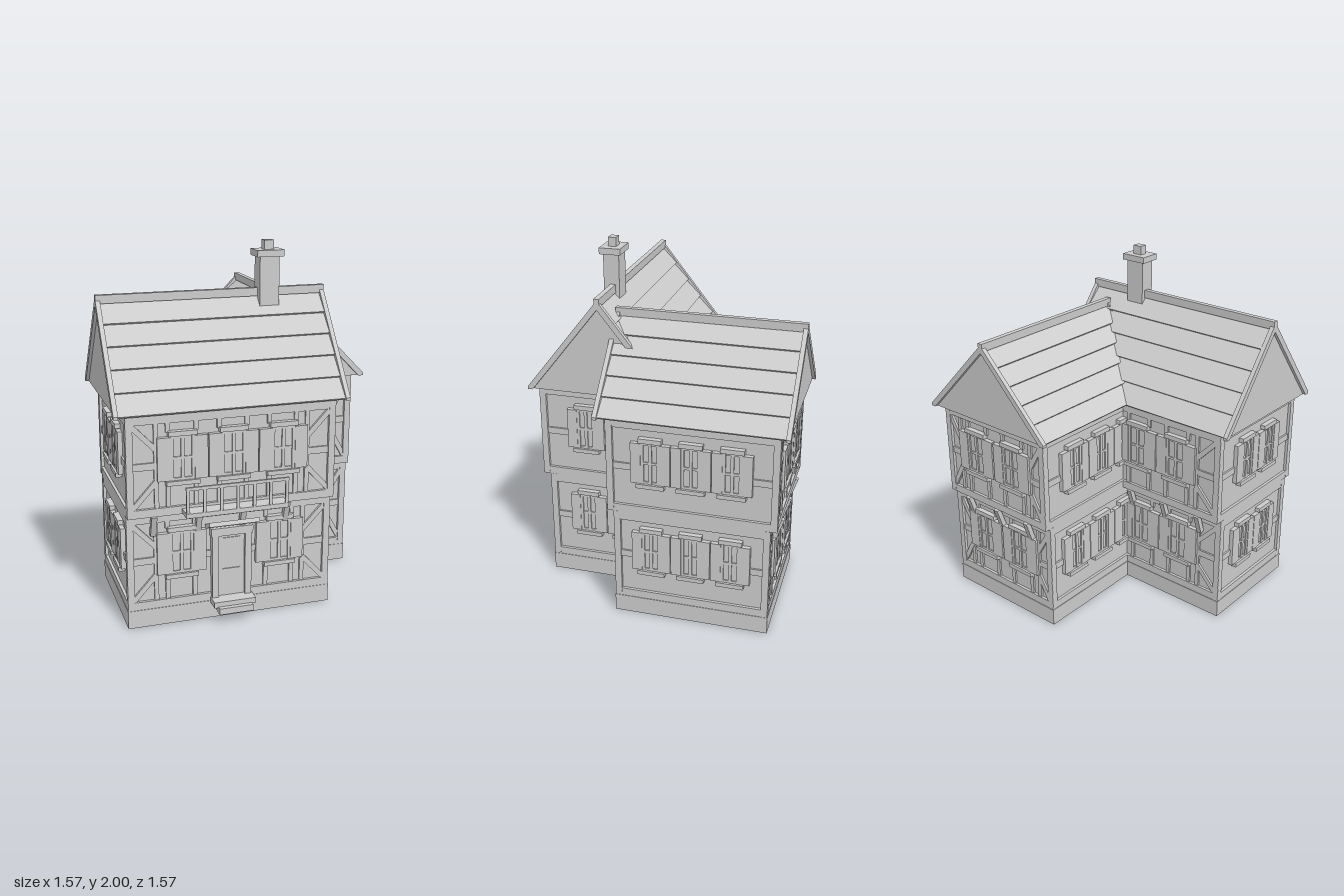
import * as THREE from 'three';

const stone = new THREE.MeshStandardMaterial({ color: 0xcccccc });
stone.name = 'pale grey';

// Box given by its min/max limits on each axis
function box(parent, name, x0, x1, y0, y1, z0, z1) {
  const m = new THREE.Mesh(new THREE.BoxGeometry(x1 - x0, y1 - y0, z1 - z0), stone);
  m.position.set((x0 + x1) / 2, (y0 + y1) / 2, (z0 + z1) / 2);
  m.name = name;
  parent.add(m);
  return m;
}

// Flat timber between two points of a facade
function brace(parent, ax, ay, bx, by, z) {
  const m = new THREE.Mesh(new THREE.BoxGeometry(Math.hypot(bx - ax, by - ay), 0.028, 0.02), stone);
  m.position.set((ax + bx) / 2, (ay + by) / 2, z);
  m.rotation.z = Math.atan2(by - ay, bx - ax);
  m.name = 'diagonalBrace';
  parent.add(m);
}

function group(parent, name) {
  const g = new THREE.Group();
  g.name = name;
  parent.add(g);
  return g;
}

// Window with glass, glazing bars, shutters, sill and lintel; s is its whole width
function addWindow(parent, x, y, s) {
  const g = group(parent, 'window');
  g.position.set(x, y, 0);
  const p = s * 0.235, h = 0.24;
  box(g, 'glass', -p, p, 0, h, -0.02, -0.002);
  for (const e of [-1, 1]) {
    box(g, 'frameSide', e * (p - 0.008) - 0.008, e * (p - 0.008) + 0.008, 0, h, -0.02, 0.006);
    const a = e * p, b = e * s * 0.49;
    box(g, 'shutter', Math.min(a, b), Math.max(a, b), 0.002, h - 0.005, -0.02, 0.009);
  }
  box(g, 'mullion', -0.009, 0.009, 0, h, -0.02, 0.006);
  for (const yy of [0, h / 2 - 0.006, h - 0.014]) box(g, 'glazingBar', -p, p, yy, yy + 0.014, -0.02, 0.004);
  box(g, 'sill', -p - 0.025, p + 0.025, -0.024, 0, -0.02, 0.018);
  box(g, 'lintel', -p - 0.012, p + 0.012, h, h + 0.026, -0.02, 0.014);
}

// One side of a block: two timber-framed storeys
function facade(parent, o) {
  const side = group(parent, o.name);
  side.position.set(o.cx, 0, o.cz);
  side.rotation.y = o.turn;
  [[0.1, 0.64], [0.64, 1.19]].forEach(([y0, y1], i) => {
    const f = group(side, i ? 'upperStorey' : 'groundStorey');
    f.position.z = o.dist[i];
    const h = o.half[i];
    box(f, 'bottomRail', -h, h, y0, y0 + 0.045, -0.03, 0);
    box(f, 'topRail', -h, h, y1 - 0.05, y1, -0.03, 0);
    box(f, 'middleRail', -h, h, y0 + 0.255, y0 + 0.293, -0.03, -0.006);
    for (const e of [-1, 1]) {
      box(f, 'cornerPost', e * (h - 0.018) - 0.018, e * (h - 0.018) + 0.018, y0, y1, -0.036, 0.001);
      if (o.fancy) {
        const a = e * (h - 0.03), b = e * (Math.max(...o.wins) + o.spacing / 2);
        brace(f, a, y0 + 0.05, b, y0 + 0.19, -0.013);
        brace(f, a, y1 - 0.055, b, y1 - 0.19, -0.013);
        box(f, 'stud', b - 0.012, b + 0.012, y0, y1, -0.03, -0.005);
      }
    }
    for (const x of o.wins) {
      if (o.door && i === 0 && x === 0) continue;
      addWindow(f, x, y0 + 0.19, o.spacing);
      if (o.fancy) for (const e of [-1, 1]) {
        const sx = x + e * 0.075;
        box(f, 'stud', sx - 0.012, sx + 0.012, y0, y0 + 0.17, -0.03, -0.005);
        box(f, 'stud', sx - 0.012, sx + 0.012, y0 + 0.45, y1, -0.03, -0.005);
      }
    }
  });
  // Brackets carrying the overhanging storey
  for (const x of o.brackets || []) {
    const m = box(side, 'bracket', x - 0.015, x + 0.015, 0.52, 0.645, o.dist[0] - 0.005, o.dist[0] + 0.023);
    m.position.z += 0.008;
    m.rotation.x = 0.32;
  }
}

// Solid stepped roof along z, with verge boards and ridge cap
function roof(parent, name, half, rise, length) {
  const g = group(parent, name);
  const n = 5, hw = half - 0.022, r = rise - 0.02, L = Math.hypot(hw, r);
  const pts = [[hw, 0]];
  const at = (t, k) => [hw * (1 - t) + (r / L) * k, r * t + (hw / L) * k];
  for (let i = 0; i < n; i++) pts.push(at(i / n, 0.018), at((i + 1) / n, 0.003));
  pts[pts.length - 1] = [0, r + 0.004];
  const all = [...pts, ...pts.slice(0, -1).reverse().map(([x, y]) => [-x, y])];
  const extrude = (partName, list, z0, z1) => {
    const shape = new THREE.Shape(list.map(([x, y]) => new THREE.Vector2(x, y)));
    const m = new THREE.Mesh(new THREE.ExtrudeGeometry(shape, { depth: z1 - z0, bevelEnabled: false }), stone);
    m.position.z = z0;
    m.name = partName;
    g.add(m);
  };
  const e = length / 2, k = rise / half;
  extrude('roofRows', all, -e + 0.018, e - 0.018);
  const verge = [[half, 0], [half, 0.015], [0, rise + 0.015], [-half, 0.015], [-half, 0],
    [-half + 0.028, 0], [0, rise - 0.028 * k], [half - 0.028, 0]];
  extrude('vergeBoard', verge, -e, -e + 0.025);
  extrude('vergeBoard', verge, e - 0.025, e);
  box(g, 'ridgeCap', -0.015, 0.015, rise - 0.02, rise + 0.025, -e, e);
  return g;
}

export function createModel() {
  const house = new THREE.Group();
  house.name = 'house';

  // The two blocks: centre, half width, half depth of ground and upper storeys
  const blocks = [
    { name: 'mainBlock', cx: -0.15, cz: 0.32, hx: 0.57, hz: [0.34, 0.38], front: [-0.275, 0, 0.275],
      side: [-0.11, 0.11], door: true, brackets: [-0.43, -0.185, 0.06, 0.305] },
    { name: 'wing', cx: 0.345, cz: -0.26, hx: 0.385, hz: [0.43, 0.465], front: [-0.14, 0.14],
      side: [-0.22, 0, 0.22], brackets: [-0.235, 0, 0.235] },
  ];
  for (const b of blocks) {
    const g = group(house, b.name);
    const { cx, cz, hx, hz } = b, w = 0.016;
    box(g, 'plinth', cx - hx - 0.003, cx + hx + 0.003, 0, 0.1, cz - hz[0] - 0.003, cz + hz[0] + 0.003);
    box(g, 'groundWalls', cx - hx + w, cx + hx - w, 0.1, 0.64, cz - hz[0] + w, cz + hz[0] - w);
    box(g, 'upperWalls', cx - hx + w, cx + hx - w, 0.64, 1.2, cz - hz[1] + w, cz + hz[1] - w);
    for (const back of [0, 1]) {
      facade(g, { name: back ? 'backFacade' : 'frontFacade', cx, cz, turn: back * Math.PI, half: [hx, hx],
        dist: hz, wins: b.front, spacing: 0.275, fancy: true, door: b.door && !back,
        brackets: back ? b.brackets.map((x) => -x) : b.brackets });
      facade(g, { name: back ? 'rightFacade' : 'leftFacade', cx, cz, turn: (back ? -1 : 1) * Math.PI / 2,
        half: hz, dist: [hx, hx], wins: b.side, spacing: 0.22 });
    }
  }

  // Roofs
  const mainRoof = roof(house, 'mainRoof', 0.42, 0.53, 1.27);
  mainRoof.position.set(-0.15, 1.19, 0.32);
  mainRoof.rotation.y = Math.PI / 2;
  roof(house, 'wingRoof', 0.44, 0.45, 1.04).position.set(0.34, 1.19, -0.26);

  // Chimney
  const chimney = group(house, 'chimney');
  box(chimney, 'stack', 0.1, 0.21, 1.5, 1.92, 0.283, 0.372);
  box(chimney, 'cap', 0.08, 0.232, 1.915, 1.95, 0.268, 0.388);
  box(chimney, 'pot', 0.13, 0.185, 1.95, 2, 0.305, 0.35);

  // Entrance
  const entry = group(house, 'entrance');
  box(entry, 'door', -0.225, -0.075, 0.1, 0.485, 0.63, 0.662);
  box(entry, 'doorPanel', -0.2, -0.1, 0.14, 0.28, 0.65, 0.667);
  box(entry, 'doorPanel', -0.2, -0.1, 0.31, 0.46, 0.65, 0.667);
  for (const e of [-1, 1]) box(entry, 'doorPost', -0.15 + e * 0.092 - 0.018, -0.15 + e * 0.092 + 0.018, 0.1, 0.49, 0.63, 0.68);
  box(entry, 'doorLintel', -0.267, -0.033, 0.48, 0.525, 0.63, 0.685);
  box(entry, 'canopy', -0.29, -0.01, 0.538, 0.562, 0.645, 0.73).rotation.x = -0.45;
  box(entry, 'upperStep', -0.267, -0.033, 0.09, 0.122, 0.64, 0.74);
  box(entry, 'lowerStep', -0.245, -0.055, 0.06, 0.095, 0.64, 0.765);

  // Balcony
  const balcony = group(house, 'balcony');
  box(balcony, 'balconyFloor', -0.43, 0.13, 0.645, 0.67, 0.68, 0.785);
  box(balcony, 'handrail', -0.43, 0.13, 0.795, 0.812, 0.772, 0.785);
  for (let i = 0; i < 7; i++) {
    const x = -0.42 + i * 0.09;
    box(balcony, 'baluster', x - 0.008, x + 0.008, 0.67, 0.797, 0.773, 0.784);
  }
  return house;
}
